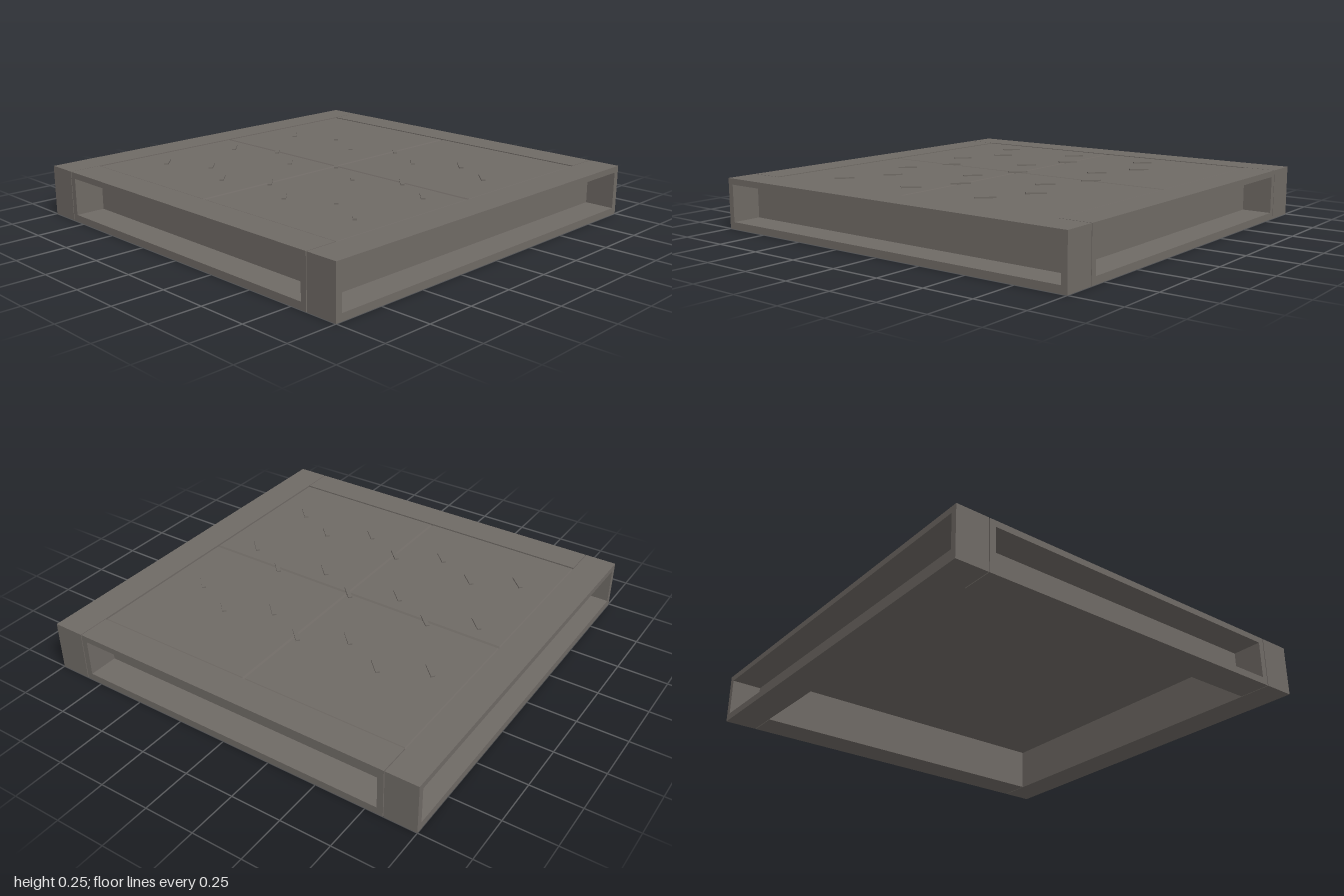
import * as THREE from 'three';

const HEIGHT = 0.25, INNER = 0.84, DEPTH = 1 - INNER, RIM = 0.03;

function rectPath(path, w, y0, y1) {
  path.moveTo(-w / 2, y0);
  path.lineTo(w / 2, y0);
  path.lineTo(w / 2, y1);
  path.lineTo(-w / 2, y1);
  path.closePath();
  return path;
}

export function createModel() {
  const group = new THREE.Group();
  const metal = new THREE.MeshStandardMaterial({ color: 0x6f6a65 });

  function add(parent, name, geometry, x = 0, y = 0, z = 0) {
    const mesh = new THREE.Mesh(geometry, metal);
    mesh.name = name;
    mesh.position.set(x, y, z);
    parent.add(mesh);
    return mesh;
  }

  // Frame beams: open boxes with a hollow outer face and a thin inner wall
  function beam(name, length, angle) {
    const part = new THREE.Group();
    part.name = name;
    const shape = rectPath(new THREE.Shape(), length, 0, HEIGHT);
    shape.holes.push(rectPath(new THREE.Path(), length - 2 * RIM, RIM + 0.005, HEIGHT - RIM));
    add(part, name + 'Rim', new THREE.ExtrudeGeometry(shape, { depth: DEPTH, bevelEnabled: false }), 0, 0, INNER);
    add(part, name + 'InnerWall',
      new THREE.BoxGeometry(length - 2 * RIM, HEIGHT - 2 * RIM, 0.01), 0, HEIGHT / 2, INNER + 0.005);
    part.rotation.y = angle;
    group.add(part);
  }
  const sideLength = 2 * INNER - 0.008;
  beam('frontBeam', 2, 0);
  beam('leftBeam', sideLength, Math.PI / 2);
  beam('backBeam', 2, Math.PI);
  beam('rightBeam', sideLength, -Math.PI / 2);

  // Deck: one base sheet carrying four bevelled panels with shallow seams
  add(group, 'deckBase', new THREE.BoxGeometry(2 * INNER, 0.02, 2 * INNER), 0, 0.23, 0);
  const size = INNER - 0.004, bevel = 0.006;
  const panel = new THREE.CylinderGeometry((size - 2 * bevel) / Math.SQRT2, size / Math.SQRT2, 0.008, 4, 1, true)
    .rotateY(Math.PI / 4).toNonIndexed();
  panel.computeVertexNormals();
  const panelTop = new THREE.PlaneGeometry(size - 2 * bevel, size - 2 * bevel).rotateX(-Math.PI / 2);
  for (const sx of [-1, 1]) {
    for (const sz of [-1, 1]) {
      add(group, 'deckPanelEdge', panel, sx * INNER / 2, 0.244, sz * INNER / 2);
      add(group, 'deckPanelTop', panelTop, sx * INNER / 2, 0.248, sz * INNER / 2);
    }
  }

  // Diagonal grip treads in two interleaved grids
  const tread = new THREE.BoxGeometry(0.095, 0.012, 0.02);
  function treads(xs, zs) {
    for (const x of xs) {
      for (const z of zs) add(group, 'gripTread', tread, x, 0.249, z).rotation.y = Math.PI / 4;
    }
  }
  treads([-0.55, -0.11, 0.33], [-0.66, -0.22, 0.22, 0.66]);
  treads([-0.44, 0, 0.44], [-0.44, 0, 0.44]);

  return group;
}
